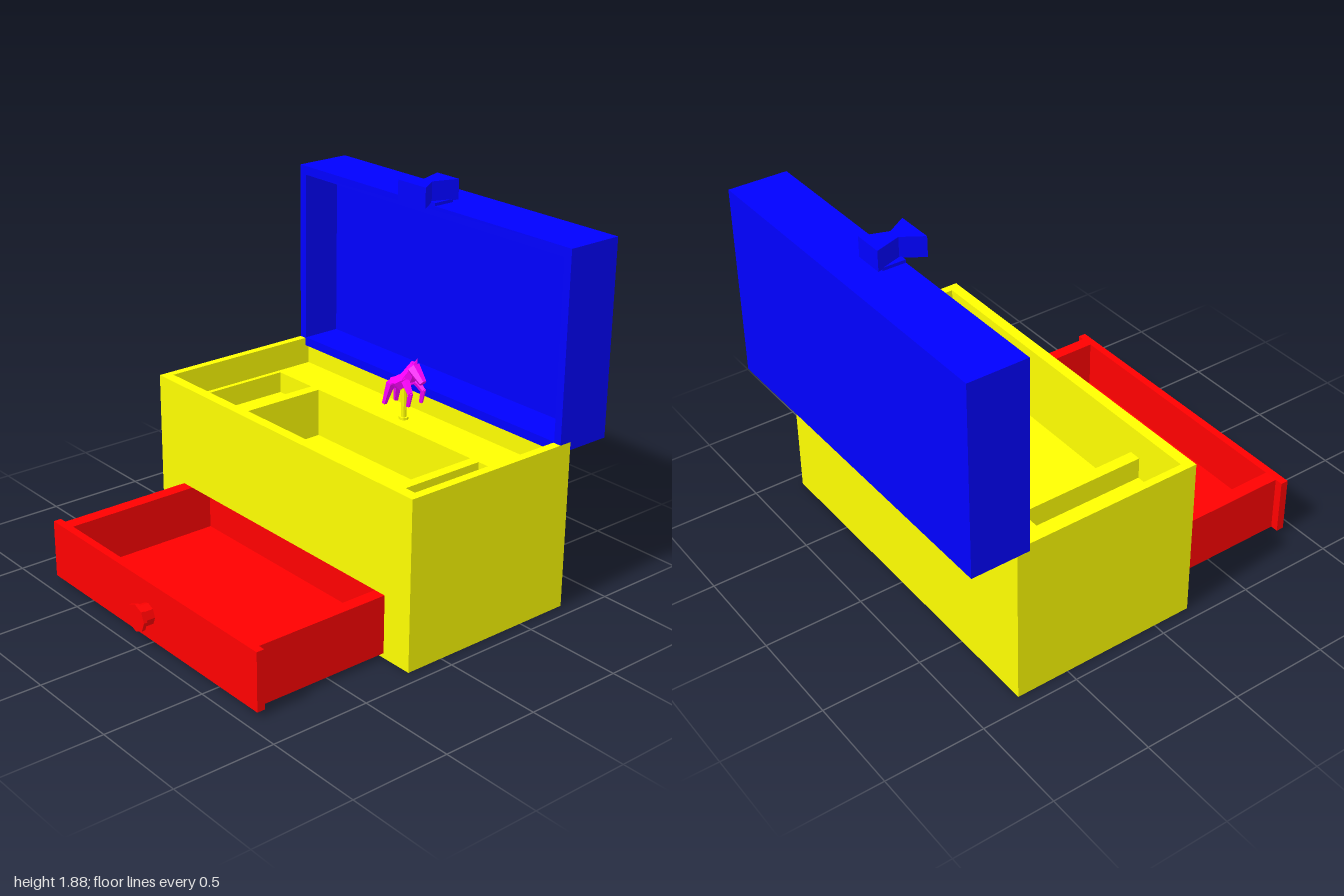
import * as THREE from 'three';

const mat = (color) => new THREE.MeshStandardMaterial({ color, flatShading: true });
const YELLOW = mat(0xffff00), BLUE = mat(0x0000ff), RED = mat(0xff0000), MAGENTA = mat(0xff00ff);

function add(group, name, geometry, material) {
  const mesh = new THREE.Mesh(geometry, material);
  mesh.name = name;
  group.add(mesh);
  return mesh;
}

// Box given by its limits on each axis
function box(group, name, material, x0, x1, y0, y1, z0, z1) {
  const mesh = add(group, name, new THREE.BoxGeometry(x1 - x0, y1 - y0, z1 - z0), material);
  mesh.position.set((x0 + x1) / 2, (y0 + y1) / 2, (z0 + z1) / 2);
  return mesh;
}

// Tapered prism running from point a to point b
function limb(group, name, material, a, b, ra, rb, sides = 6) {
  const from = new THREE.Vector3(...a), dir = new THREE.Vector3(...b).sub(from);
  const mesh = add(group, name, new THREE.CylinderGeometry(rb, ra, dir.length(), sides), material);
  mesh.position.copy(from).addScaledVector(dir, 0.5);
  mesh.quaternion.setFromUnitVectors(new THREE.Vector3(0, 1, 0), dir.normalize());
  return mesh;
}

const rect = (Type, x0, x1, y0, y1) => new Type([[x0, y0], [x1, y0], [x1, y1], [x0, y1]]
  .map(([x, y]) => new THREE.Vector2(x, y)));

function makeCase() {
  const g = new THREE.Group();
  g.name = 'case';
  // Outer shell, with the drawer slot cut in the front
  box(g, 'caseRightWall', YELLOW, -0.935, -0.895, 0, 0.84, -0.77, 0.14);
  box(g, 'caseLeftWall', YELLOW, 0.885, 0.93, 0, 0.84, -0.77, 0.14);
  box(g, 'caseBack', YELLOW, -0.895, 0.885, 0, 0.84, -0.77, -0.725);
  box(g, 'caseBottom', YELLOW, -0.895, 0.885, 0, 0.02, -0.725, 0.14);
  const front = rect(THREE.Shape, -0.935, 0.93, 0, 0.84);
  front.holes.push(rect(THREE.Path, -0.75, 0.765, 0.025, 0.315));
  add(g, 'caseFront', new THREE.ExtrudeGeometry(front, { depth: 0.055, bevelEnabled: false }), YELLOW)
    .position.z = 0.14;

  // Tray: rear shelf, dividers and the floors of three pockets
  const top = 0.7, low = 0.4;
  box(g, 'trayShelf', YELLOW, -0.895, 0.885, low, top, -0.725, -0.515);
  for (const [x0, x1] of [[-0.895, -0.87], [-0.615, -0.555], [0.55, 0.605], [0.86, 0.885]])
    box(g, 'trayDivider', YELLOW, x0, x1, low, top, -0.515, 0.14);
  for (const [x0, x1, y] of [[-0.87, -0.615, 0.59], [-0.555, 0.55, 0.45], [0.605, 0.86, 0.59]])
    box(g, 'trayPocketFloor', YELLOW, x0, x1, low, y, -0.515, 0.14);
  return g;
}

function makeLid() {
  const g = new THREE.Group();
  g.name = 'lid';
  // Hollow lid standing open, its mouth toward the front
  box(g, 'lidPanel', BLUE, -0.935, 0.93, 0.8, 1.765, -1, -0.91);
  const rim = rect(THREE.Shape, -0.935, 0.93, 0.8, 1.765);
  rim.holes.push(rect(THREE.Path, -0.89, 0.89, 0.845, 1.72));
  add(g, 'lidRim', new THREE.ExtrudeGeometry(rim, { depth: 0.205, bevelEnabled: false }), BLUE)
    .position.z = -0.91;

  // Bow-shaped clasp on the free edge
  const bow = new THREE.Shape([[-0.075, -0.845], [0.075, -0.845], [0.03, -0.715], [0.095, -0.615],
    [-0.095, -0.615], [-0.03, -0.715]].map(([x, z]) => new THREE.Vector2(x, z)));
  const clasp = new THREE.ExtrudeGeometry(bow, { depth: 0.1, bevelEnabled: false });
  add(g, 'clasp', clasp.rotateX(Math.PI / 2), BLUE).position.y = 1.875;
  box(g, 'claspFoot', BLUE, -0.065, 0.065, 1.76, 1.78, -0.82, -0.705);
  return g;
}

function makeDrawer() {
  const g = new THREE.Group();
  g.name = 'drawer';
  const y0 = 0.025, y1 = 0.315;
  box(g, 'drawerFront', RED, -0.79, 0.8, y0, y1, 0.89, 0.93);
  box(g, 'drawerFloor', RED, -0.68, 0.7, y0, 0.07, 0.09, 0.89);
  box(g, 'drawerBack', RED, -0.68, 0.7, y0, y1, 0.02, 0.09);
  box(g, 'drawerRightSide', RED, -0.75, -0.68, y0, y1, 0.02, 0.89);
  box(g, 'drawerLeftSide', RED, 0.7, 0.765, y0, y1, 0.02, 0.89);

  // Eight-sided knob
  const profile = [[0, 0], [0.053, 0], [0.053, 0.045], [0.068, 0.052], [0.068, 0.07], [0, 0.07]];
  const knob = new THREE.LatheGeometry(profile.map(([r, y]) => new THREE.Vector2(r, y)), 8);
  add(g, 'drawerKnob', knob.rotateX(Math.PI / 2), RED).position.set(0, 0.155, 0.93);
  return g;
}

function makeHorse() {
  const g = new THREE.Group();
  g.name = 'horseFigure';
  // Turning post with its foot
  limb(g, 'post', YELLOW, [0, 0.7, 0], [0, 0.88, 0], 0.014, 0.014, 8);
  limb(g, 'postFoot', YELLOW, [0, 0.7, 0], [0, 0.712, 0], 0.024, 0.024, 8);

  // Rearing body, neck and head
  const part = (name, a, b, ra, rb, sides) => limb(g, name, MAGENTA, a, b, ra, rb, sides);
  part('rump', [-0.085, 0.87, 0], [-0.02, 0.885, 0], 0.025, 0.04);
  part('barrel', [-0.03, 0.882, 0], [0.045, 0.93, 0], 0.04, 0.04);
  part('neck', [0.025, 0.92, 0], [0.075, 1.0, 0], 0.042, 0.022);
  part('head', [0.062, 0.985, 0], [0.132, 0.925, 0], 0.036, 0.02);
  part('tail', [-0.08, 0.88, 0], [-0.1, 0.82, 0.01], 0.018, 0.006, 5);
  part('mane', [0.01, 0.94, 0], [0.06, 1.01, 0], 0.02, 0.012, 4);
  part('horn', [0.07, 0.99, 0], [0.09, 1.042, 0], 0.02, 0, 4);
  for (const s of [-1, 1]) {
    part('hindLeg', [-0.07, 0.875, s * 0.025], [-0.1, 0.76, s * 0.038], 0.024, 0.013, 5);
    part('foreThigh', [0.04, 0.915, s * 0.028], [0.09, 0.865, s * 0.042], 0.022, 0.014, 5);
    part('foreShin', [0.09, 0.87, s * 0.042], [0.075, 0.8, s * 0.042], 0.014, 0.011, 5);
  }
  g.position.z = -0.595;
  return g;
}

export function createModel() {
  const model = new THREE.Group();
  model.name = 'musicBox';
  model.add(makeCase(), makeLid(), makeDrawer(), makeHorse());
  return model;
}
